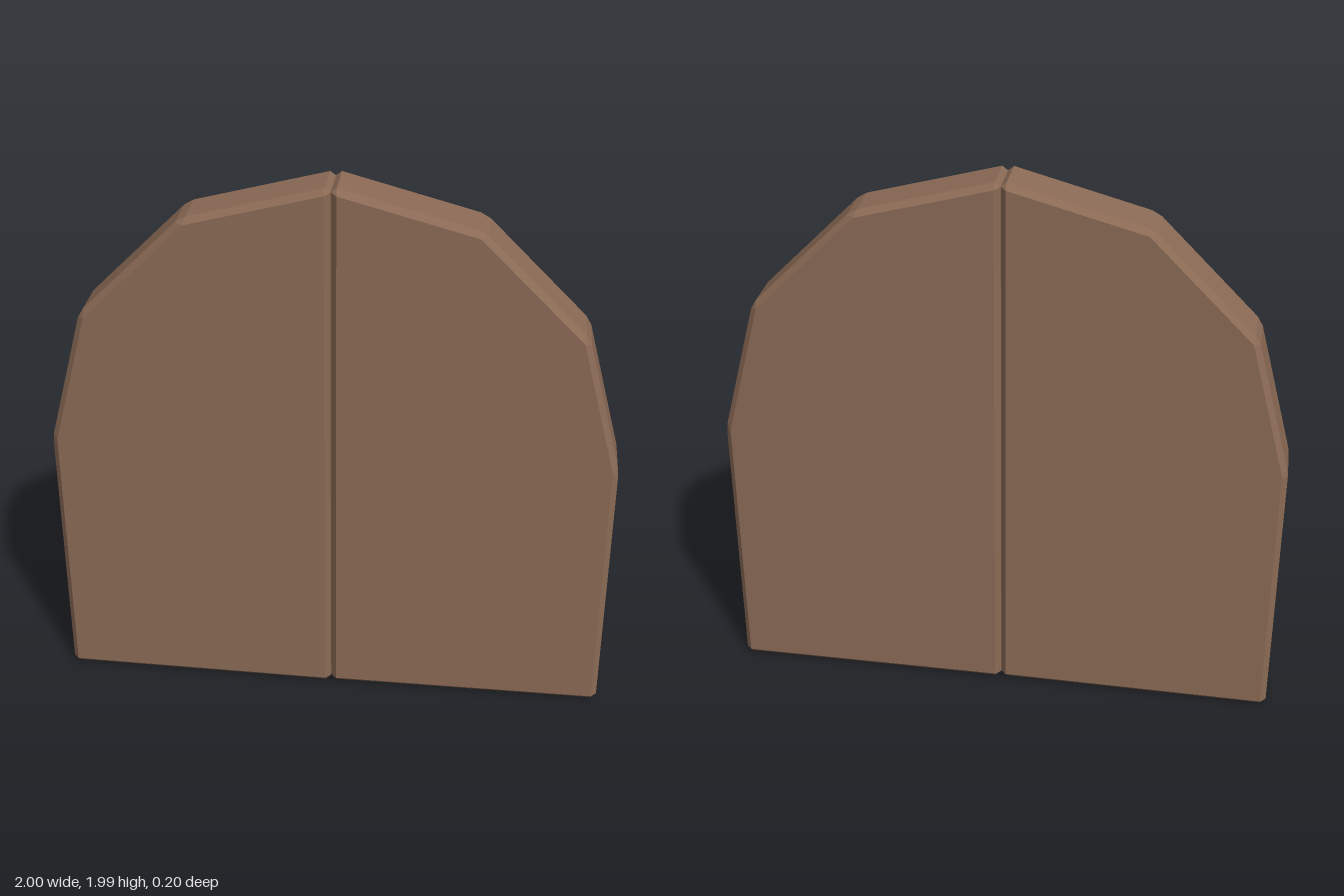
import * as THREE from 'three';
import { ConvexGeometry } from 'three/addons/geometries/ConvexGeometry.js';

const HALF_DEPTH = 0.095;
const BEVEL = 0.02;

// Half-arch outline: straight jamb, then a quarter circle in 30 degree steps
function leafOutline(side) {
  const points = [new THREE.Vector2(0, 0), new THREE.Vector2(side, 0)];
  for (let i = 0; i <= 3; i++) {
    const a = (i * Math.PI) / 6;
    points.push(new THREE.Vector2(side * Math.cos(a), 1 + Math.sin(a)));
  }
  return points;
}

// Slab with every edge chamfered: inset faces, cut corners around the rim
function chamferedSlab(outline) {
  const points = [];
  outline.forEach((p, i) => {
    const n = outline.length;
    const toPrev = outline[(i + n - 1) % n].clone().sub(p).normalize();
    const toNext = outline[(i + 1) % n].clone().sub(p).normalize();
    const sine = Math.abs(toPrev.cross(toNext));
    const inset = p.clone().addScaledVector(toPrev.clone().add(toNext), BEVEL / sine);
    const cuts = [toPrev, toNext].map((d) => p.clone().addScaledVector(d, BEVEL));
    for (const s of [-1, 1]) {
      points.push(new THREE.Vector3(inset.x, inset.y, s * HALF_DEPTH));
      for (const c of cuts) points.push(new THREE.Vector3(c.x, c.y, s * (HALF_DEPTH - BEVEL)));
    }
  });
  return new ConvexGeometry(points);
}

export function createModel() {
  const group = new THREE.Group();
  group.name = 'archedDoubleDoor';
  const wood = new THREE.MeshStandardMaterial({ color: 0x8c6b56 });
  wood.name = 'brown wood';

  // Two leaves meeting in the middle, each very slightly ajar
  const leaves = [
    { name: 'leftDoorLeaf', side: 1, turn: -0.004, z: 0.001 },
    { name: 'rightDoorLeaf', side: -1, turn: -0.015, z: 0.005 },
  ];
  for (const { name, side, turn, z } of leaves) {
    const leaf = new THREE.Mesh(chamferedSlab(leafOutline(side)), wood);
    leaf.name = name;
    leaf.rotation.y = turn;
    leaf.position.z = z;
    group.add(leaf);
  }
  return group;
}
